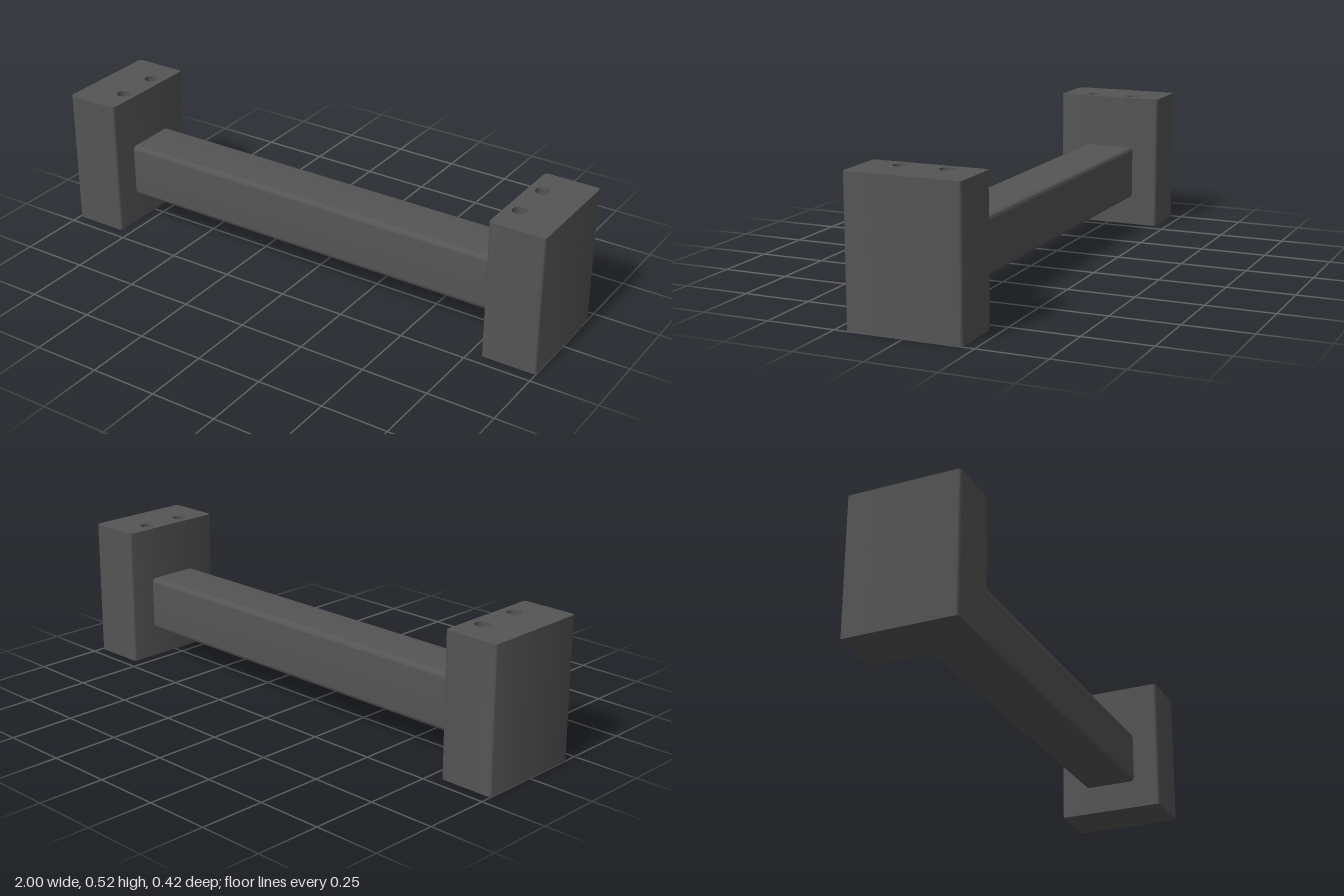
import * as THREE from 'three';
import { toCreasedNormals } from 'three/addons/utils/BufferGeometryUtils.js';

const material = new THREE.MeshStandardMaterial({ color: 0x555555 });

// Rectangle with rounded corners, centred on the origin
function roundedRect(w, h, r) {
  const x = w / 2, y = h / 2;
  const s = new THREE.Shape();
  s.absarc(x - r, y - r, r, 0, Math.PI / 2);
  s.absarc(-x + r, y - r, r, Math.PI / 2, Math.PI);
  s.absarc(-x + r, -y + r, r, Math.PI, Math.PI * 1.5);
  s.absarc(x - r, -y + r, r, Math.PI * 1.5, Math.PI * 2);
  s.closePath();
  return s;
}

function extrude(shape, depth) {
  const g = new THREE.ExtrudeGeometry(shape, { depth, bevelEnabled: false, curveSegments: 12 });
  return toCreasedNormals(g, 0.5);
}

function part(name, geometry) {
  const mesh = new THREE.Mesh(geometry, material);
  mesh.name = name;
  return mesh;
}

const POST = { width: 0.208, height: 0.523, depth: 0.416, radius: 0.014 };
const HOLE = { radius: 0.026, depth: 0.2, inset: 0.053, z: 0.083 };

// End post: solid lower block plus an upper block with two blind screw holes
function createPost(side) {
  const post = new THREE.Group();
  post.name = side > 0 ? 'leftPost' : 'rightPost';
  const outline = () => roundedRect(POST.width, POST.depth, POST.radius);
  const lowerHeight = POST.height - HOLE.depth;

  const lower = part('postBody', extrude(outline(), lowerHeight).rotateX(-Math.PI / 2));

  const drilled = outline();
  for (const z of [-HOLE.z, HOLE.z]) {
    const hole = new THREE.Path();
    hole.absarc(-side * HOLE.inset, z, HOLE.radius, 0, Math.PI * 2, true);
    drilled.holes.push(hole);
  }
  const upper = part('drilledPostTop', extrude(drilled, HOLE.depth).rotateX(-Math.PI / 2));
  upper.position.y = lowerHeight;

  post.add(lower, upper);
  post.position.x = side * (1 - POST.width / 2);
  return post;
}

export function createModel() {
  const model = new THREE.Group();
  model.name = 'handle';

  // Crossbar running between the inner faces of the posts
  const length = 2 * (1 - POST.width);
  const bar = part('crossbar', extrude(roundedRect(0.208, 0.208, 0.016), length));
  bar.geometry.translate(0, 0, -length / 2).rotateY(Math.PI / 2);
  bar.position.y = 0.216;

  model.add(bar, createPost(1), createPost(-1));
  return model;
}
